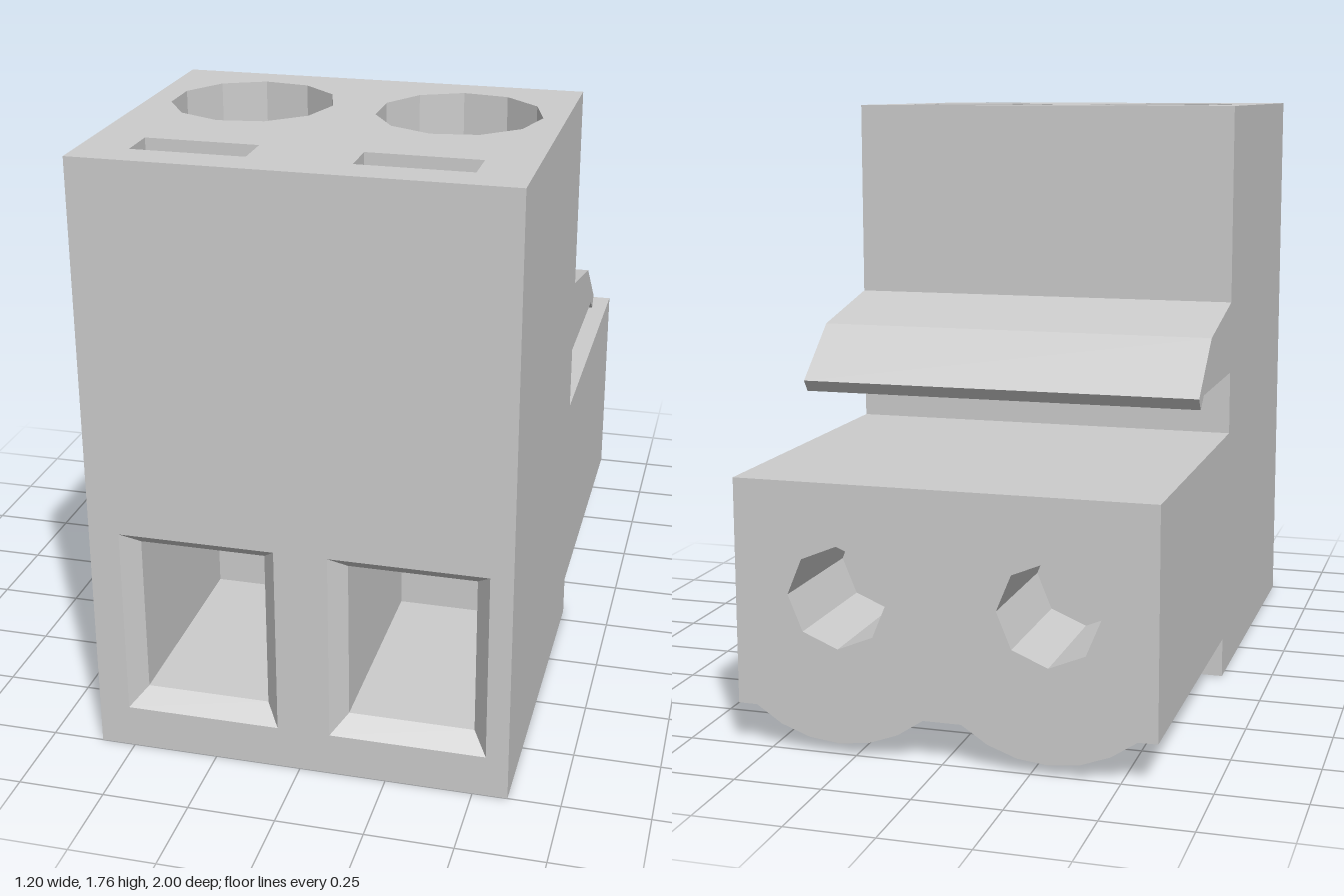
import * as THREE from 'three';

const W = 0.6;          // half width of the housing
const POLES = [-0.3, 0.3];
const STEP_Z = -0.055;  // where the plug section starts
const DECK_Y = 0.765;   // top of the plug section
const TOP_Y = 1.765;

export function createModel() {
  const group = new THREE.Group();
  const material = new THREE.MeshStandardMaterial({ color: 0xcccccc, flatShading: true });

  const add = (name, geometry) => {
    const mesh = new THREE.Mesh(geometry, material);
    mesh.name = name;
    group.add(mesh);
    return mesh;
  };
  const box = (name, x0, x1, y0, y1, z0, z1) => {
    const g = new THREE.BoxGeometry(x1 - x0, y1 - y0, z1 - z0);
    add(name, g.translate((x0 + x1) / 2, (y0 + y1) / 2, (z0 + z1) / 2));
  };
  const points = (list) => list.map(([x, y]) => new THREE.Vector2(x, y));
  const rect = (x0, x1, y0, y1) => [[x0, y0], [x1, y0], [x1, y1], [x0, y1]];
  const ngon = (cx, cy, r, n) => Array.from({ length: n }, (_, i) => {
    const a = (i / n) * Math.PI * 2;
    return [cx + r * Math.cos(a), cy + r * Math.sin(a)];
  });
  // Prism along z from an outline with holes
  const prism = (outline, holes, z0, z1) => {
    const shape = new THREE.Shape(points(outline));
    shape.holes = holes.map((h) => new THREE.Path(points(h)));
    const g = new THREE.ExtrudeGeometry(shape, { depth: z1 - z0, bevelEnabled: false });
    return g.translate(0, 0, z0);
  };
  // Same along y: outline is drawn in (x, -z)
  const prismY = (outline, holes, y0, y1) => prism(outline, holes, y0, y1).rotateX(-Math.PI / 2);

  // Lower housing with the wire entries cut in from the front
  const lower = rect(-W, W, 0, DECK_Y);
  const entryOuter = POLES.map((x) => rect(x - 0.212, x + 0.236, 0.125, 0.687));
  const entryInner = POLES.map((x) => rect(x - 0.168, x + 0.193, 0.172, 0.643));
  const bevelZ = 0.945;
  const entryBack = 0.3;
  box('lowerHousingCore', -W, W, 0, DECK_Y, STEP_Z, entryBack);
  add('wireEntryWalls', prism(lower, entryInner, entryBack, bevelZ));
  add('wireEntryFront', prism(lower, entryOuter, bevelZ, 1));

  // Sloping rims of the wire entries
  entryOuter.forEach((outer, k) => {
    const inner = entryInner[k];
    const verts = [];
    for (let i = 0; i < 4; i++) {
      const j = (i + 1) % 4;
      const a = [...outer[i], 1], b = [...outer[j], 1];
      const c = [...inner[j], bevelZ], d = [...inner[i], bevelZ];
      verts.push(...a, ...b, ...c, ...a, ...c, ...d);
    }
    const g = new THREE.BufferGeometry();
    g.setAttribute('position', new THREE.Float32BufferAttribute(verts, 3));
    g.computeVertexNormals();
    add('wireEntryRim', g);
  });

  // Upper housing with screw wells and test slots
  const wellFloor = 1.4;
  const screwZ = 0.33;
  const screwR = 0.235;
  const wells = POLES.map((x) => ngon(x, -screwZ, screwR, 11));
  const slots = POLES.map((x) => rect(x - 0.16, x + 0.157, -0.895, -0.78));
  box('upperHousingCore', -W, W, DECK_Y, wellFloor, 0, 1);
  add('upperHousingTop', prismY(rect(-W, W, -1, 0), [...wells, ...slots], wellFloor, TOP_Y));

  // Slotted screw heads: a disc with two raised segments either side of the slot
  const t = Math.asin(0.059 / screwR);
  const segment = Array.from({ length: 9 }, (_, i) => {
    const a = t + (i / 8) * (Math.PI - 2 * t);
    return [screwR * Math.cos(a), screwR * Math.sin(a)];
  });
  for (const x of POLES) {
    const screw = new THREE.Group();
    screw.name = 'screw';
    const disc = add('screwSlotFloor', prismY(ngon(0, 0, screwR, 22), [], wellFloor, 1.48));
    screw.add(disc);
    for (const turn of [0, Math.PI]) {
      const half = add('screwHeadHalf', prismY(segment, [], 1.48, 1.57));
      half.rotation.y = turn;
      screw.add(half);
    }
    screw.position.set(x, 0, screwZ);
    screw.rotation.y = -0.67;
    group.add(screw);
  }

  // Plug section with two scalloped ribs underneath and pin sockets at the back
  const plug = [[W, DECK_Y], [-W, DECK_Y], [-W, 0.12]];
  const ribR = 0.38;
  const ribHalf = 0.245;
  for (const x of POLES) {
    const span = Math.asin(ribHalf / ribR);
    for (let i = 0; i <= 6; i++) {
      const a = span * (i / 3 - 1);
      plug.push([x + ribR * Math.sin(a), 0.03 + ribR * (1 - Math.cos(a))]);
    }
  }
  plug.push([W, 0.12]);
  const sockets = POLES.map((x) => ngon(x, 0.445, 0.145, 8));
  add('plugCore', prism(plug, [], -0.6, STEP_Z));
  add('plugSocketEnd', prism(plug, sockets, -1, -0.6));

  // Latch: profile in (-z, y), swept across the full width
  const latch = [[0, 0.955], [0.43, 0.955], [0.475, 0.92], [0.5, 0.955], [0.32, 1.105], [0, 1.172]];
  add('latch', prism(latch, [], -W, W).rotateY(Math.PI / 2));

  return group;
}
